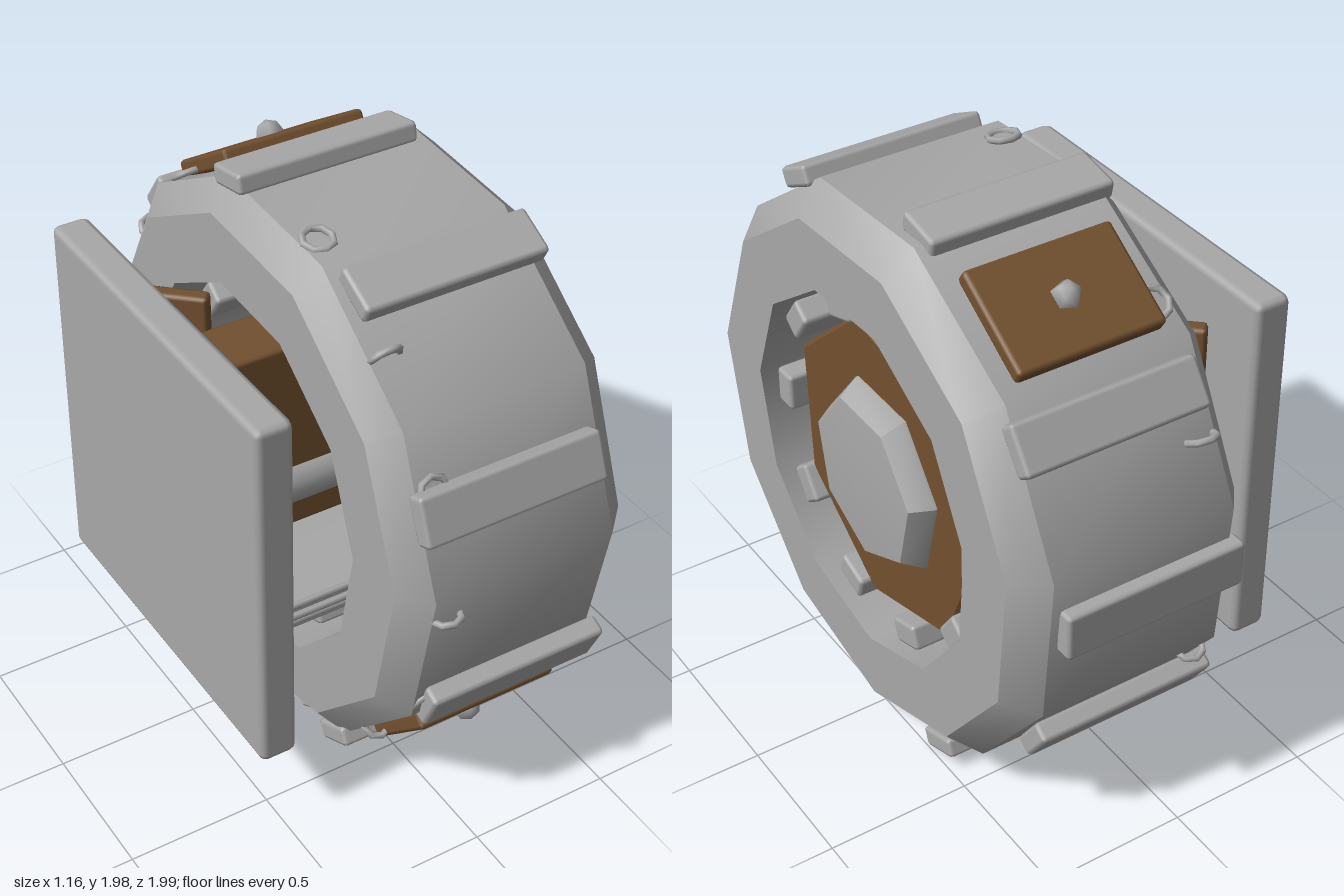
import * as THREE from 'three';
import { toCreasedNormals } from 'three/addons/utils/BufferGeometryUtils.js';
import { RoundedBoxGeometry } from 'three/addons/geometries/RoundedBoxGeometry.js';

const rad = THREE.MathUtils.degToRad;

export function createModel() {
  const grey = new THREE.MeshStandardMaterial({ color: 0xa8a8a8 });
  grey.name = 'steelGrey';
  const brown = new THREE.MeshStandardMaterial({ color: 0x73502f });
  brown.name = 'rustBrown';

  const model = new THREE.Group();
  model.name = 'wheelAssembly';
  const wheel = new THREE.Group(); // axle runs along x
  wheel.name = 'wheel';
  wheel.position.y = 1;
  model.add(wheel);

  const add = (parent, name, geometry, material, x = 0, y = 0, z = 0) => {
    const mesh = new THREE.Mesh(geometry, material);
    mesh.name = name;
    mesh.position.set(x, y, z);
    parent.add(mesh);
    return mesh;
  };
  // Solid of revolution about x, profile as [radius, x]; angle locates one corner
  const turned = (name, profile, sides, angle, material, y = 0, z = 0) => {
    const points = profile.map(([r, x]) => new THREE.Vector2(r, x));
    const g = new THREE.LatheGeometry(points, sides, rad(angle + 180), Math.PI * 2);
    g.rotateZ(-Math.PI / 2);
    return add(wheel, name, toCreasedNormals(g, rad(36)), material, 0, y, z);
  };
  // Group whose +y points outward; 0 degrees is the back, 90 the top
  const spoke = (name, angle) => {
    const g = new THREE.Group();
    g.name = name;
    g.rotation.x = rad(angle - 90);
    wheel.add(g);
    return g;
  };
  const block = (w, h, d, r = 0.015) => new RoundedBoxGeometry(w, h, d, 1, r);

  // Eleven-sided hollow rim with chamfered edges
  turned('rim', [[0.64, -0.26], [0.872, -0.26], [0.973, -0.18], [0.973, 0.47],
    [0.872, 0.57], [0.64, 0.57], [0.64, -0.26]], 11, -86.9, grey);

  // Seven-sided hub and its cap
  turned('hubPlate', [[0, 0.38], [0.54, 0.38], [0.555, 0.395], [0.555, 0.465],
    [0.54, 0.48], [0, 0.48]], 7, -100, brown, -0.01, -0.015);
  turned('hubCap', [[0.33, 0.47], [0.33, 0.49], [0.285, 0.56], [0, 0.58]], 7, -91, grey, 0, -0.015);

  // Treads, staggered along the axle
  [-0.6, 36, 79, 117, 158, -155, -117, -70, -35].forEach((angle, i) => {
    const x = i % 2 ? 0.175 : 0.115;
    const r = i === 0 ? 0.955 : 0.975;
    add(spoke('treadMount', angle), 'tread', block(0.65, 0.07, 0.165), grey, x, r, 0);
  });

  // Brown patch plates, each with a five-sided stud
  for (const angle of [57.4, -134.5]) {
    const mount = spoke('patchMount', angle);
    add(mount, 'patchPlate', block(0.52, 0.06, 0.36), brown, 0.15, 0.965, 0);
    add(mount, 'stud', new THREE.SphereGeometry(0.05, 5, 4), grey, 0.15, 0.995, 0);
  }

  // Eyelets, alternately lying flat and standing
  for (let k = 0; k < 14; k++) {
    const ring = add(spoke('eyeletMount', k * 360 / 14), 'eyelet',
      new THREE.TorusGeometry(0.05, 0.012, 6, 8), grey, -0.125, k % 2 ? 0.94 : 0.955, 0);
    if (k % 2 === 0) ring.rotation.x = Math.PI / 2;
  }

  // Blocks lining the bore
  for (let k = 0; k < 10; k++) {
    add(spoke('liningMount', k * 36), 'liningBlock', block(0.66, 0.09, 0.135), grey, 0.19, 0.57, 0);
  }

  // Square mounting plate
  add(model, 'mountingPlate', block(0.13, 1.31, 1.31, 0.025), grey, -0.52, 1, -0.025);

  // Axle and supports between plate and hub
  const tube = (name, r, length, x, y, z) => {
    const g = new THREE.CylinderGeometry(r, r, length, r > 0.05 ? 20 : 6);
    g.rotateZ(Math.PI / 2);
    return add(model, name, g, grey, x, y, z);
  };
  tube('axle', 0.096, 0.86, -0.03, 0.975, 0.08);
  tube('shaft', 0.09, 0.86, -0.03, 1.2, -0.12);
  add(model, 'uprightPanel', block(0.5, 0.71, 0.22), brown, -0.2, 1.165, 0.03);
  const panel = add(model, 'slantedPanel', block(0.28, 0.55, 0.06), brown, -0.33, 1.21, -0.38);
  panel.rotation.y = -rad(43);

  // Lower shelves and thin rods
  add(model, 'frontShelf', new THREE.BoxGeometry(0.5, 0.03, 0.3), grey, -0.19, 0.71, 0.27);
  add(model, 'rearShelf', new THREE.BoxGeometry(0.5, 0.03, 0.4), grey, -0.19, 0.78, -0.32);
  [[0.65, 0.4], [0.7, 0.44], [0.74, 0.46], [0.79, 0.465], [1.0, -0.59]].forEach(([y, z]) =>
    tube('rod', 0.013, 0.5, -0.2, y, z));

  return model;
}
